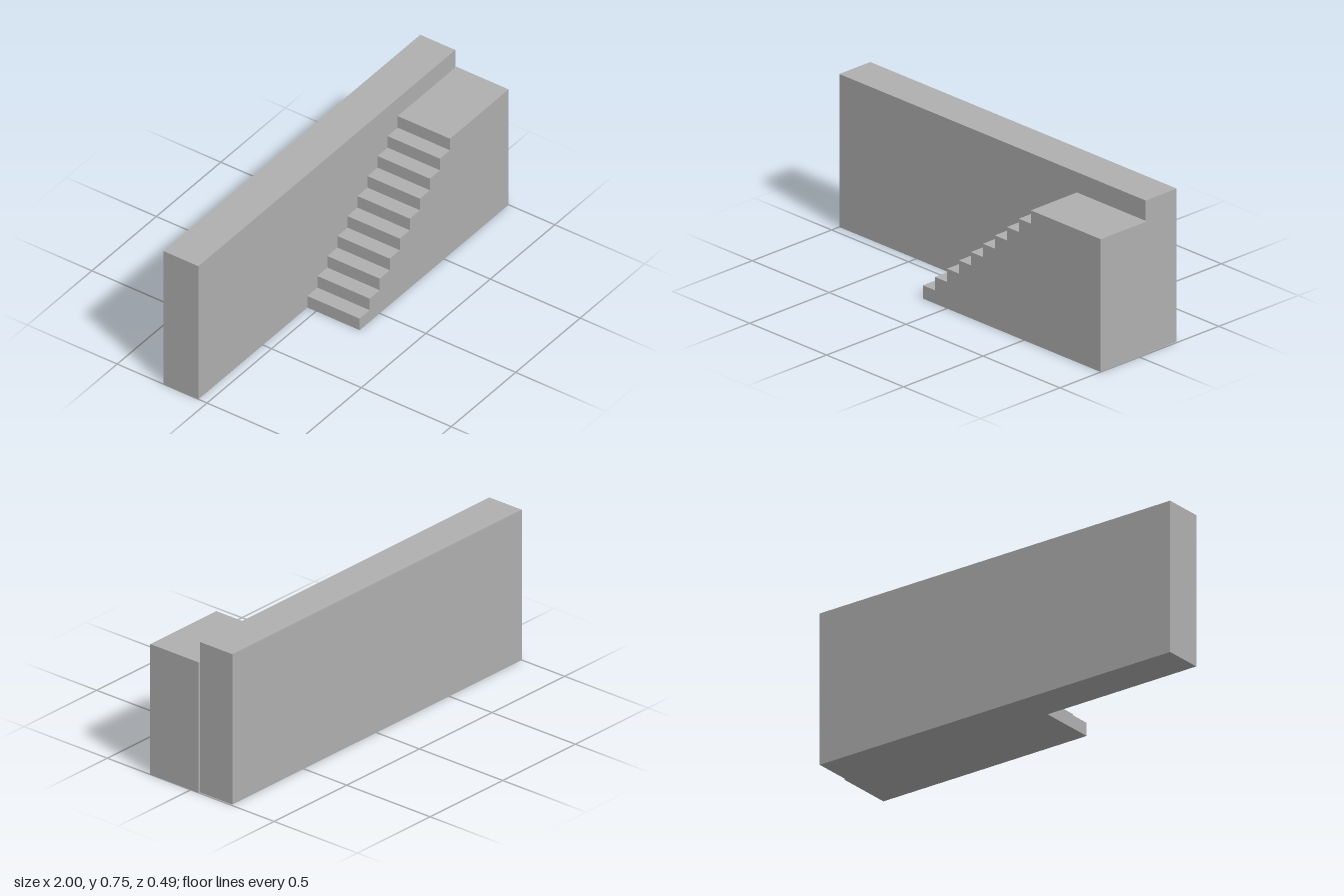
import * as THREE from 'three';

const STEPS = 10;          // risers, the last one reaching the landing
const TREAD = 0.0778;
const STAIR_HEIGHT = 0.655;
const STAIR_START = -0.155;
const WALL_FRONT = -0.048;
const DEPTH = 0.243;       // half of the overall depth

export function createModel() {
  const group = new THREE.Group();
  const concrete = new THREE.MeshStandardMaterial({ color: 0xb0b0b0 });
  concrete.name = 'concrete grey';

  // Long straight wall behind the stairs
  const wallDepth = WALL_FRONT + DEPTH;
  const wall = new THREE.Mesh(new THREE.BoxGeometry(1.992, 0.755, wallDepth), concrete);
  wall.name = 'wall';
  wall.position.set(-0.004, 0.755 / 2, (WALL_FRONT - DEPTH) / 2);
  group.add(wall);

  // Stepped side profile, ending in a flat landing
  const profile = new THREE.Shape();
  profile.moveTo(1, 0);
  profile.lineTo(1, STAIR_HEIGHT);
  for (let i = STEPS - 1; i >= 0; i--) {
    const x = STAIR_START + i * TREAD;
    profile.lineTo(x, (STAIR_HEIGHT * (i + 1)) / STEPS);
    profile.lineTo(x, (STAIR_HEIGHT * i) / STEPS);
  }
  profile.closePath();

  // Solid staircase and landing
  const stairs = new THREE.Mesh(
    new THREE.ExtrudeGeometry(profile, { depth: DEPTH - WALL_FRONT, bevelEnabled: false }),
    concrete
  );
  stairs.name = 'staircase';
  stairs.position.z = WALL_FRONT;
  group.add(stairs);

  return group;
}
